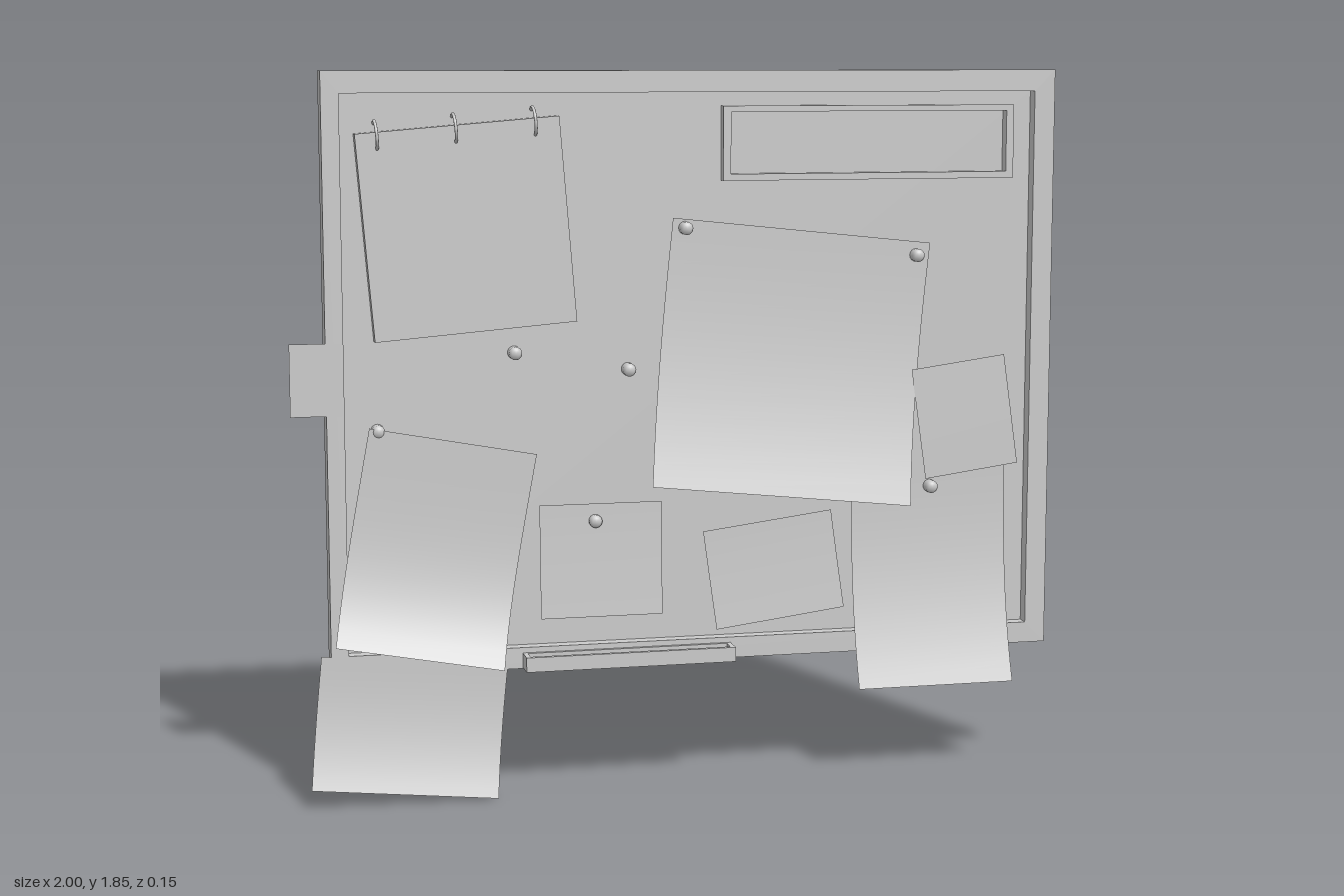
import * as THREE from 'three';

const material = new THREE.MeshStandardMaterial({ color: 0xcccccc, side: THREE.DoubleSide });
const flatMaterial = new THREE.MeshStandardMaterial({ color: 0xcccccc, side: THREE.DoubleSide, flatShading: true });

function add(parent, name, geometry, mat = material) {
  const mesh = new THREE.Mesh(geometry, mat);
  mesh.name = name;
  parent.add(mesh);
  return mesh;
}

// Joins rectangular loops [x0, y0, x1, y1, z] into a stepped shell
function rectLoft(loops) {
  const corners = loops.map(([x0, y0, x1, y1, z]) => [[x0, y0, z], [x1, y0, z], [x1, y1, z], [x0, y1, z]]);
  const pos = [];
  for (let i = 0; i < loops.length - 1; i++) {
    for (let k = 0; k < 4; k++) {
      const a = corners[i][k], b = corners[i][(k + 1) % 4];
      const c = corners[i + 1][(k + 1) % 4], d = corners[i + 1][k];
      pos.push(...a, ...b, ...c, ...a, ...c, ...d);
    }
  }
  const geometry = new THREE.BufferGeometry();
  geometry.setAttribute('position', new THREE.Float32BufferAttribute(pos, 3));
  geometry.computeVertexNormals();
  return geometry;
}

// Sheet placed by its bottom left corner, curling forward from zTop to zBottom
function sheet(parent, name, { x, y, w, h, angle = 0, zTop, zBottom, power = 2.5 }) {
  const geometry = new THREE.PlaneGeometry(w, h, 1, 12);
  geometry.translate(w / 2, h / 2, 0);
  const p = geometry.attributes.position;
  for (let i = 0; i < p.count; i++) {
    const t = Math.max(0, 1 - p.getY(i) / h);
    p.setZ(i, zTop + (zBottom - zTop) * Math.pow(t, power));
  }
  geometry.computeVertexNormals();
  const mesh = add(parent, name, geometry);
  mesh.position.set(x, y, 0);
  mesh.rotation.z = THREE.MathUtils.degToRad(angle);
}

export function createModel() {
  const model = new THREE.Group();
  model.name = 'pinBoard';

  // Frame: outer walls, front border and recess, open at the back
  const outer = [-0.91, 0.325, 1, 1.85];
  const inner = [-0.865, 0.38, 0.945, 1.795];
  add(model, 'frame', rectLoft([
    [...outer, -0.075], [...outer, -0.005], [...inner, -0.005], [...inner, -0.04],
  ]), flatMaterial);

  // Recessed panel
  const panel = add(model, 'panel', new THREE.PlaneGeometry(1.81, 1.415));
  panel.position.set(0.04, 1.0875, -0.04);

  // Label holder: a thin rim through the panel
  const lo = [0.11, 1.57, 0.89, 1.76], li = [0.13, 1.587, 0.87, 1.745];
  add(model, 'labelHolder', rectLoft([
    [...lo, -0.068], [...lo, -0.01], [...li, -0.01], [...li, -0.068], [...lo, -0.068],
  ]), flatMaterial);

  // Pen tray: a shallow trough on the bottom rail
  const tray = new THREE.Group();
  tray.name = 'penTray';
  const trayBox = (name, w, h, d, x, y, z) =>
    add(tray, name, new THREE.BoxGeometry(w, h, d), flatMaterial).position.set(x, y, z);
  trayBox('trayFloor', 0.55, 0.022, 0.06, 0, 0.011, 0.025);
  trayBox('trayFrontLip', 0.55, 0.038, 0.012, 0, 0.019, 0.049);
  trayBox('trayBackLip', 0.55, 0.038, 0.01, 0, 0.019, 0);
  for (const s of [-1, 1]) trayBox('trayEnd', 0.012, 0.038, 0.06, s * 0.269, 0.019, 0.025);
  tray.position.set(-0.145, 0.328, 0);
  model.add(tray);

  // Notepad hanging from three rings
  const notepad = new THREE.Group();
  notepad.name = 'notepad';
  add(notepad, 'pad', new THREE.BoxGeometry(0.515, 0.52, 0.042), flatMaterial).position.set(0, 0, -0.028);
  for (const x of [-0.205, -0.008, 0.193]) {
    const ring = add(notepad, 'ring', new THREE.TorusGeometry(0.036, 0.004, 8, 24));
    ring.rotation.y = Math.PI / 2;
    ring.position.set(x, 0.252, -0.02);
  }
  notepad.position.set(-0.55, 1.457, 0);
  notepad.rotation.z = THREE.MathUtils.degToRad(4.7);
  model.add(notepad);

  // Curling sheets
  sheet(model, 'largeSheet', { x: -0.09, y: 0.795, w: 0.694, h: 0.685, angle: -6.2, zTop: -0.036, zBottom: 0.056 });
  sheet(model, 'leftSheet', { x: -0.905, y: 0.42, w: 0.433, h: 0.55, angle: -10.6, zTop: -0.01, zBottom: 0.075, power: 4 });
  sheet(model, 'lowerLeftSheet', { x: -0.97, y: 0.05, w: 0.478, h: 0.335, angle: -6, zTop: -0.003, zBottom: 0.05 });
  sheet(model, 'rightSheet', { x: 0.465, y: 0.235, w: 0.425, h: 0.57, zTop: -0.036, zBottom: 0.056 });

  // Small notes
  sheet(model, 'rightNote', { x: 0.66, y: 0.78, w: 0.257, h: 0.293, angle: 7.8, zTop: -0.012, zBottom: -0.006, power: 1 });
  sheet(model, 'squareNote', { x: -0.37, y: 0.45, w: 0.32, h: 0.295, zTop: -0.025, zBottom: -0.012, power: 1.5 });
  sheet(model, 'tiltedNote', { x: 0.095, y: 0.4, w: 0.348, h: 0.262, angle: 7.4, zTop: -0.025, zBottom: -0.012, power: 1.5 });

  // Tab sticking out at the side
  sheet(model, 'sideTab', { x: -1, y: 0.995, w: 0.13, h: 0.183, zTop: -0.003, zBottom: -0.003 });

  // Push pins, passing through the panel
  const pinProfile = [[0, -0.025], [0.01, -0.025], [0.017, -0.016], [0.017, 0.016], [0.01, 0.025], [0, 0.025]]
    .map(([r, y]) => new THREE.Vector2(r, y));
  const pinGeometry = new THREE.LatheGeometry(pinProfile, 16);
  pinGeometry.rotateX(Math.PI / 2);
  for (const [x, y] of [
    [0.015, 1.45], [0.635, 1.37], [-0.43, 1.14], [-0.135, 1.09], [-0.78, 0.95], [-0.225, 0.7], [0.68, 0.757],
  ]) add(model, 'pin', pinGeometry).position.set(x, y, -0.03);

  return model;
}
